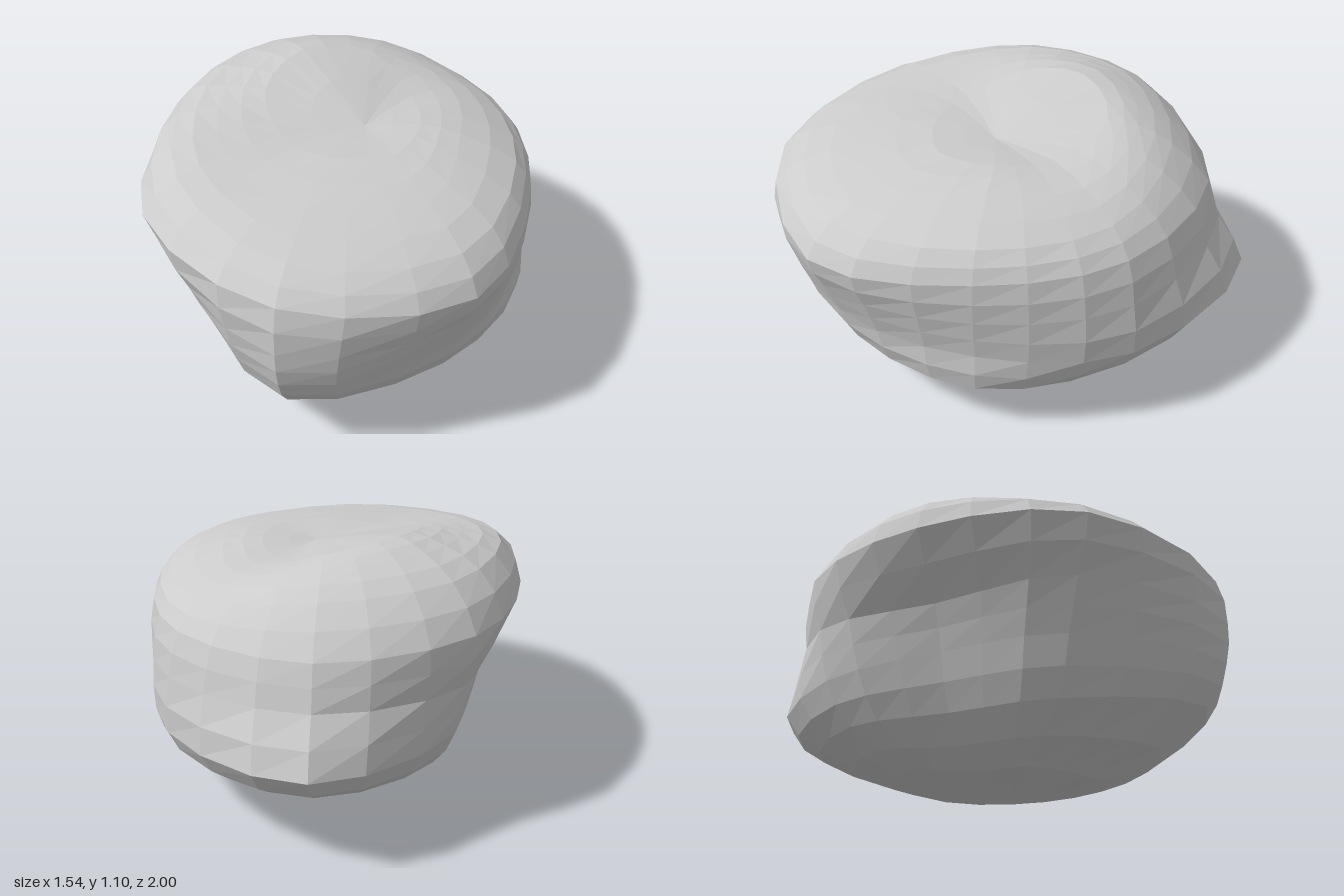
import * as THREE from 'three';

// Boulder outline in eight directions, turning from +x through +z, -x and -z.
// Each is a profile of [radius, height] running from the top down.
const PROFILES = [
  [[.30, 1.00], [.46, .98], [.69, .89], [.76, .78], [.765, .60], [.75, .42], [.75, .25], [.40, .11]],
  [[.33, .99], [.60, .94], [.82, .86], [.93, .73], [.88, .58], [.82, .42], [.76, .25], [.42, .07]],
  [[.30, .99], [.60, .95], [.84, .89], [.97, .80], [1.0, .60], [.98, .43], [.89, .26], [.46, .01]],
  [[.30, .99], [.55, .98], [.75, .95], [.90, .83], [.80, .62], [.71, .42], [.61, .20], [.33, .03]],
  [[.35, 1.06], [.52, 1.05], [.68, 1.01], [.77, .84], [.60, .60], [.54, .42], [.46, .20], [.24, .03]],
  [[.38, 1.11], [.53, 1.08], [.68, 1.01], [.81, .84], [.77, .62], [.73, .40], [.62, .22], [.34, .08]],
  [[.40, 1.07], [.52, 1.05], [.66, .98], [.82, .82], [.88, .65], [1.0, .44], [.82, .27], [.45, .14]],
  [[.30, .99], [.50, .97], [.67, .90], [.77, .80], [.82, .62], [.84, .39], [.72, .22], [.42, .12]],
];
const TOP = new THREE.Vector3(0.08, 0.98, 0.04);
const BOTTOM = new THREE.Vector3(0.07, 0.03, 0.06);
const SEGMENTS = 24;
const RINGS = 18;

function boulderGeometry() {
  // Closed curves around the boulder, one per profile level
  const loops = PROFILES[0].map((_, level) => new THREE.CatmullRomCurve3(
    PROFILES.map((profile, k) => {
      const [r, y] = profile[level];
      const a = k * Math.PI / 4;
      return new THREE.Vector3(r * Math.cos(a), y, r * Math.sin(a));
    }), true));

  // Meridians from the sunken top to the underside
  const positions = [];
  for (let i = 0; i < SEGMENTS; i++) {
    const points = [TOP, ...loops.map(loop => loop.getPoint(i / SEGMENTS)), BOTTOM];
    for (const p of new THREE.CatmullRomCurve3(points).getPoints(RINGS)) {
      positions.push(p.x, Math.max(p.y, 0), p.z);
    }
  }

  // Facets between neighbouring meridians, with single triangles at the poles
  const index = [];
  for (let i = 0; i < SEGMENTS; i++) {
    const here = i * (RINGS + 1);
    const next = ((i + 1) % SEGMENTS) * (RINGS + 1);
    for (let j = 0; j < RINGS; j++) {
      if (j < RINGS - 1) index.push(here + j, next + j + 1, here + j + 1);
      if (j > 0) index.push(here + j, next + j, next + j + 1);
    }
  }

  const indexed = new THREE.BufferGeometry();
  indexed.setAttribute('position', new THREE.Float32BufferAttribute(positions, 3));
  indexed.setIndex(index);
  const geometry = indexed.toNonIndexed();
  geometry.computeVertexNormals();
  return geometry;
}

export function createModel() {
  const group = new THREE.Group();
  group.name = 'rock';
  const material = new THREE.MeshStandardMaterial({ color: 0xcccccc, flatShading: true });
  const boulder = new THREE.Mesh(boulderGeometry(), material);
  boulder.name = 'boulder';
  group.add(boulder);
  return group;
}
